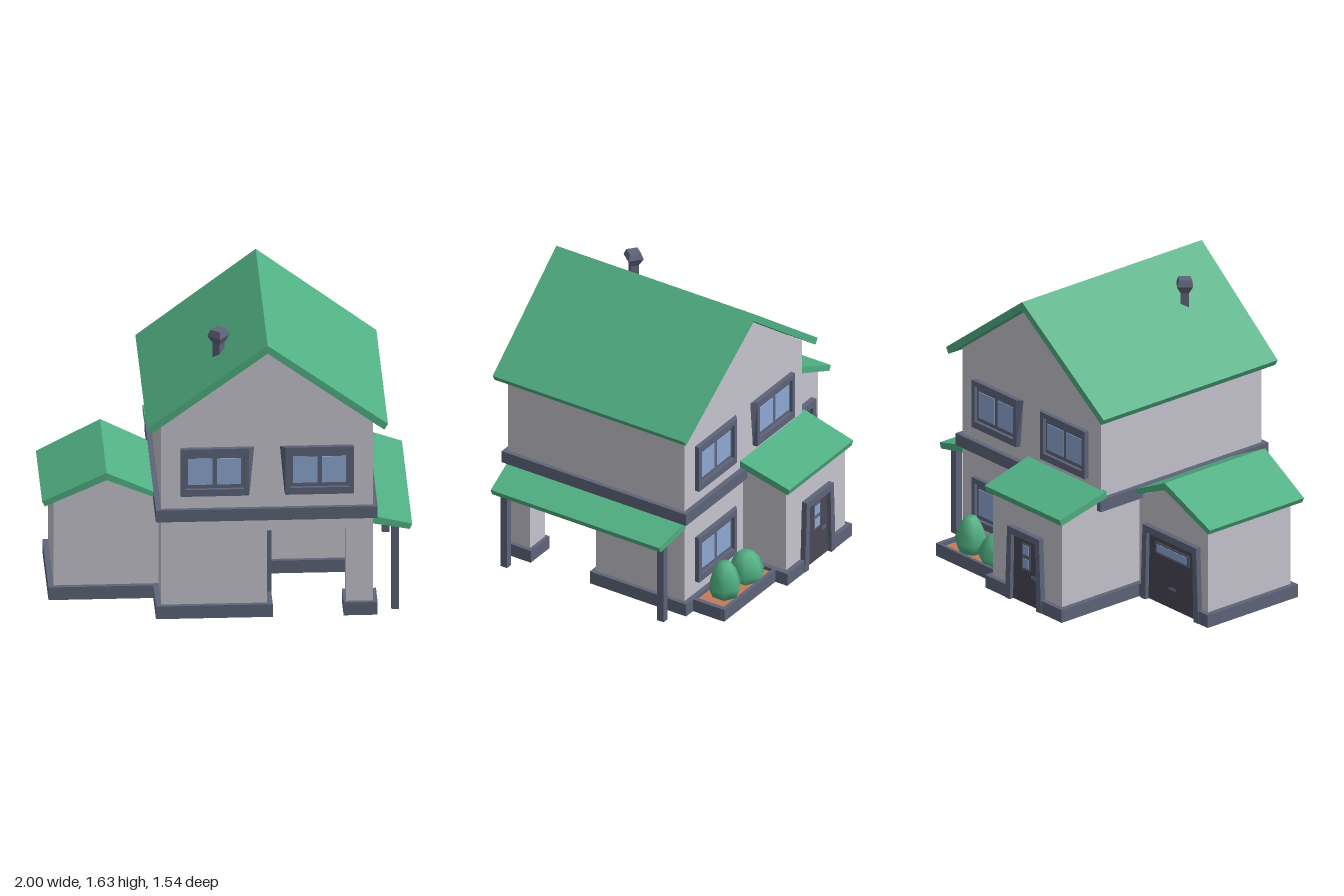
import * as THREE from 'three';

const mat = (name, color) => {
  const m = new THREE.MeshStandardMaterial({ color });
  m.name = name;
  return m;
};

export function createModel() {
  const house = new THREE.Group();
  house.name = 'house';
  const wall = mat('wall grey', 0xc6c4cd);
  const green = mat('leaf green', 0x50b083);
  const slate = mat('slate trim', 0x5e647a);
  const dark = mat('door charcoal', 0x4a4855);
  const glass = mat('window blue', 0x8ea8d3);
  const soil = mat('soil orange', 0xc47b59);

  const add = (name, geo, material, parent = house) => {
    const m = new THREE.Mesh(geo, material);
    m.name = name;
    parent.add(m);
    return m;
  };
  // box given by its min and max on each axis
  const box = (name, x0, x1, y0, y1, z0, z1, material, parent) => {
    const g = new THREE.BoxGeometry(x1 - x0, y1 - y0, z1 - z0);
    g.translate((x0 + x1) / 2, (y0 + y1) / 2, (z0 + z1) / 2);
    return add(name, g, material, parent);
  };
  const shapeOf = pts => new THREE.Shape(pts.map(p => new THREE.Vector2(p[0], p[1])));
  const extrude = (shape, depth) => new THREE.ExtrudeGeometry(shape, { depth, bevelEnabled: false });
  // floor plan in (x, z) raised to a height
  const plan = (pts, h) => extrude(shapeOf(pts.map(([x, z]) => [x, -z])), h).rotateX(-Math.PI / 2);
  // six-sided solid from a lower and an upper ring of four corners
  const slab = (lo, hi) => {
    const c = [...lo, ...hi].map(p => new THREE.Vector3(...p));
    const n = c[1].clone().sub(c[0]).cross(c[3].clone().sub(c[0]));
    const flip = n.dot(c[4].clone().sub(c[0])) < 0;
    const quads = [[0, 3, 2, 1], [4, 5, 6, 7]];
    for (let i = 0; i < 4; i++) quads.push([i, (i + 1) % 4, 4 + (i + 1) % 4, 4 + i]);
    const pos = [];
    for (const q of quads) {
      const [a, b, d, e] = flip ? [...q].reverse() : q;
      for (const i of [a, b, d, a, d, e]) pos.push(c[i].x, c[i].y, c[i].z);
    }
    const g = new THREE.BufferGeometry();
    g.setAttribute('position', new THREE.Float32BufferAttribute(pos, 3));
    g.computeVertexNormals();
    return g;
  };
  // sloping roof sheet from high edge to low edge; each edge is [x, y, zMin, zMax]
  const roofSheet = ([xa, ya, a0, a1], [xb, yb, b0, b1], t, cut) => {
    const xc = xb - Math.sign(xb - xa) * cut;
    return slab(
      [[xa, ya - t, a0], [xc, yb - t + 0.013, b0], [xc, yb - t + 0.013, b1], [xa, ya - t, a1]],
      [[xa, ya, a0], [xb, yb, b0], [xb, yb, b1], [xa, ya, a1]]);
  };

  // plinth around the footprint, notched at the doors
  add('plinth', plan([
    [-0.395, 0.725], [0.24, 0.725], [0.24, 0.53], [0.212, 0.53], [0.212, 0.29], [0.24, 0.29],
    [0.24, 0.15], [0.81, 0.15], [0.81, -0.478], [0.24, -0.478], [0.24, -0.758],
    [0.04, -0.758], [0.04, -0.732], [-0.2, -0.732], [-0.2, -0.758], [-0.395, -0.758],
    [-0.395, -0.203], [-0.435, -0.203], [-0.435, -0.177], [-0.865, -0.177], [-0.865, -0.203],
    [-0.965, -0.203], [-0.965, 0.443], [-0.395, 0.443]], 0.075), slate);
  box('pillarPlinth', 0.625, 0.81, 0, 0.075, 0.535, 0.725, slate);

  // main walls: lower floor with open corner, pillar, gabled upper floor
  add('lowerWalls', plan([[-0.365, 0.7], [0.21, 0.7], [0.21, 0.125], [0.785, 0.125],
    [0.785, -0.45], [-0.365, -0.45]], 0.505).translate(0, 0.002, 0), wall);
  box('cornerPillar', 0.64, 0.785, 0.01, 0.507, 0.555, 0.7, wall);
  add('upperWalls', extrude(shapeOf([[-0.365, 0.505], [0.785, 0.505], [0.785, 1.15],
    [0.21, 1.58], [-0.365, 1.15]]), 1.15).translate(0, 0, -0.45), wall);
  box('floorBand', -0.395, 0.81, 0.575, 0.645, -0.478, 0.725, slate);

  // garage wing and back entrance walls
  add('garageWalls', extrude(shapeOf([[-0.935, 0.002], [-0.36, 0.002], [-0.36, 0.58],
    [-0.65, 0.72], [-0.935, 0.582]]), 0.59).translate(0, 0, -0.175), wall);
  add('entranceWalls', slab(
    [[-0.365, 0.002, -0.73], [0.21, 0.002, -0.73], [0.21, 0.002, -0.44], [-0.365, 0.002, -0.44]],
    [[-0.365, 0.582, -0.73], [0.21, 0.582, -0.73], [0.21, 0.65, -0.44], [-0.365, 0.65, -0.44]]), wall);

  // roofs
  for (const s of [-1, 1]) {
    add('mainRoof', roofSheet([0.21, 1.632, -0.52, 0.768],
      [0.21 + s * 0.655, 1.143, -0.5, 0.747], 0.047, 0.02), green);
  }
  add('garageRoof', roofSheet([-0.65, 0.765, -0.24, 0.48], [-1, 0.593, -0.217, 0.457], 0.042, 0.015), green);
  add('garageRoof', roofSheet([-0.65, 0.765, -0.24, 0.48], [-0.36, 0.624, -0.222, 0.462], 0.042, 0), green);
  add('porchRoof', roofSheet([0.78, 0.578, -0.455, 0.7], [1, 0.513, -0.43, 0.67], 0.045, 0.012), green);
  add('entranceRoof', slab(
    [[-0.4, 0.652, -0.44], [0.24, 0.652, -0.44], [0.235, 0.572, -0.757], [-0.392, 0.572, -0.757]],
    [[-0.4, 0.692, -0.44], [0.24, 0.692, -0.44], [0.235, 0.608, -0.768], [-0.392, 0.608, -0.768]]), green);
  for (const z of [0.633, -0.388]) box('porchPost', 0.888, 0.928, 0, 0.51, z - 0.022, z + 0.022, slate);

  // chimney
  const pipe = [[0, 1.35], [0.032, 1.35], [0.032, 1.505], [0.062, 1.55], [0.045, 1.585], [0, 1.585]];
  const chimney = add('chimney', new THREE.LatheGeometry(pipe.map(p => new THREE.Vector2(...p)), 4)
    .toNonIndexed(), slate);
  chimney.geometry.computeVertexNormals();
  chimney.position.set(-0.04, 0, 0.43);
  chimney.rotation.y = 0.1;

  // window facing +z; the upper corner on one side splays towards the wall
  const makeWindow = (x, y, z, side, turn) => {
    const w = new THREE.Group();
    w.name = 'window';
    const outer = shapeOf([[-0.185, -0.14], [0.185, -0.14], [0.185, 0.14], [-0.185, 0.14]]);
    outer.holes.push(shapeOf([[-0.16, -0.1], [0.16, -0.1], [0.16, 0.11], [-0.16, 0.11]]));
    const g = extrude(outer, 0.027);
    const p = g.attributes.position;
    for (let i = 0; i < p.count; i++) {
      if (p.getZ(i) < 0.01 && p.getX(i) * side > 0.18)
        p.setX(i, side * (p.getY(i) > 0 ? 0.215 : 0.19));
    }
    g.computeVertexNormals();
    add('windowFrame', g, slate, w);
    box('windowSash', -0.16, 0.16, -0.1, 0.11, 0, 0.008, slate, w);
    for (const s of [-1, 1]) box('windowPane', s * 0.078 - 0.066, s * 0.078 + 0.066, -0.077, 0.077, 0.006, 0.012, glass, w);
    w.position.set(x, y, z);
    w.rotation.y = turn;
    house.add(w);
  };
  for (const s of [-1, 1]) {
    const x = 0.21 + s * 0.285;
    makeWindow(x, 0.865, 0.7, -s, 0);
    makeWindow(x, 0.865, -0.45, s, Math.PI);
  }
  makeWindow(0.495, 0.288, -0.45, 1, Math.PI);

  // door facing +z with a frame that widens towards the ground
  const makeDoor = (name, w, h, x, z, turn) => {
    const d = new THREE.Group();
    d.name = name;
    const a = w / 2, b = a + 0.022, c = a + 0.04;
    add('doorFrame', extrude(shapeOf([[-c, 0], [-a, 0], [-a + 0.01, h], [a - 0.01, h], [a, 0],
      [c, 0], [b, h + 0.04], [-b, h + 0.04]]), 0.032), slate, d);
    box('doorPanel', -a, a, 0.002, h, 0, 0.008, dark, d);
    d.position.set(x, 0, z);
    d.rotation.y = turn;
    house.add(d);
    return d;
  };
  const front = makeDoor('frontDoor', 0.22, 0.39, 0.21, 0.41, Math.PI / 2);
  box('handle', 0.02, 0.062, 0.165, 0.183, 0.006, 0.014, slate, front);
  const back = makeDoor('backDoor', 0.22, 0.39, -0.078, -0.73, Math.PI);
  for (const y of [0.32, 0.24]) {
    box('paneBorder', -0.033, 0.033, y - 0.038, y + 0.038, 0.006, 0.011, slate, back);
    box('doorPane', -0.024, 0.024, y - 0.027, y + 0.027, 0.008, 0.014, glass, back);
  }
  box('handle', 0.045, 0.08, 0.165, 0.183, 0.006, 0.014, slate, back);
  const garage = makeDoor('garageDoor', 0.4, 0.4, -0.65, -0.175, Math.PI);
  box('paneBorder', -0.14, 0.14, 0.29, 0.36, 0.006, 0.011, slate, garage);
  box('doorPane', -0.125, 0.125, 0.303, 0.347, 0.008, 0.014, glass, garage);
  box('handle', -0.025, 0.025, 0.11, 0.125, 0.006, 0.014, slate, garage);

  // planter with two shrubs
  box('soil', 0.23, 0.72, 0.002, 0.055, -0.665, -0.46, soil);
  box('planterBack', 0.23, 0.74, 0, 0.075, -0.68, -0.66, slate);
  box('planterSide', 0.715, 0.742, 0, 0.075, -0.661, -0.47, slate);
  const shrub = [[0, 0.05], [0.75, 0.05], [1, 0.115], [0.72, 0.2], [0.35, 0.255], [0, 0.255]];
  for (const [x, r, h] of [[0.363, 0.108, 0.85], [0.573, 0.096, 1]]) {
    const pts = shrub.map(([a, y]) => new THREE.Vector2(a * r, y * h));
    add('shrub', new THREE.LatheGeometry(pts, 6), green).position.set(x, 0, -0.572);
  }
  return house;
}
